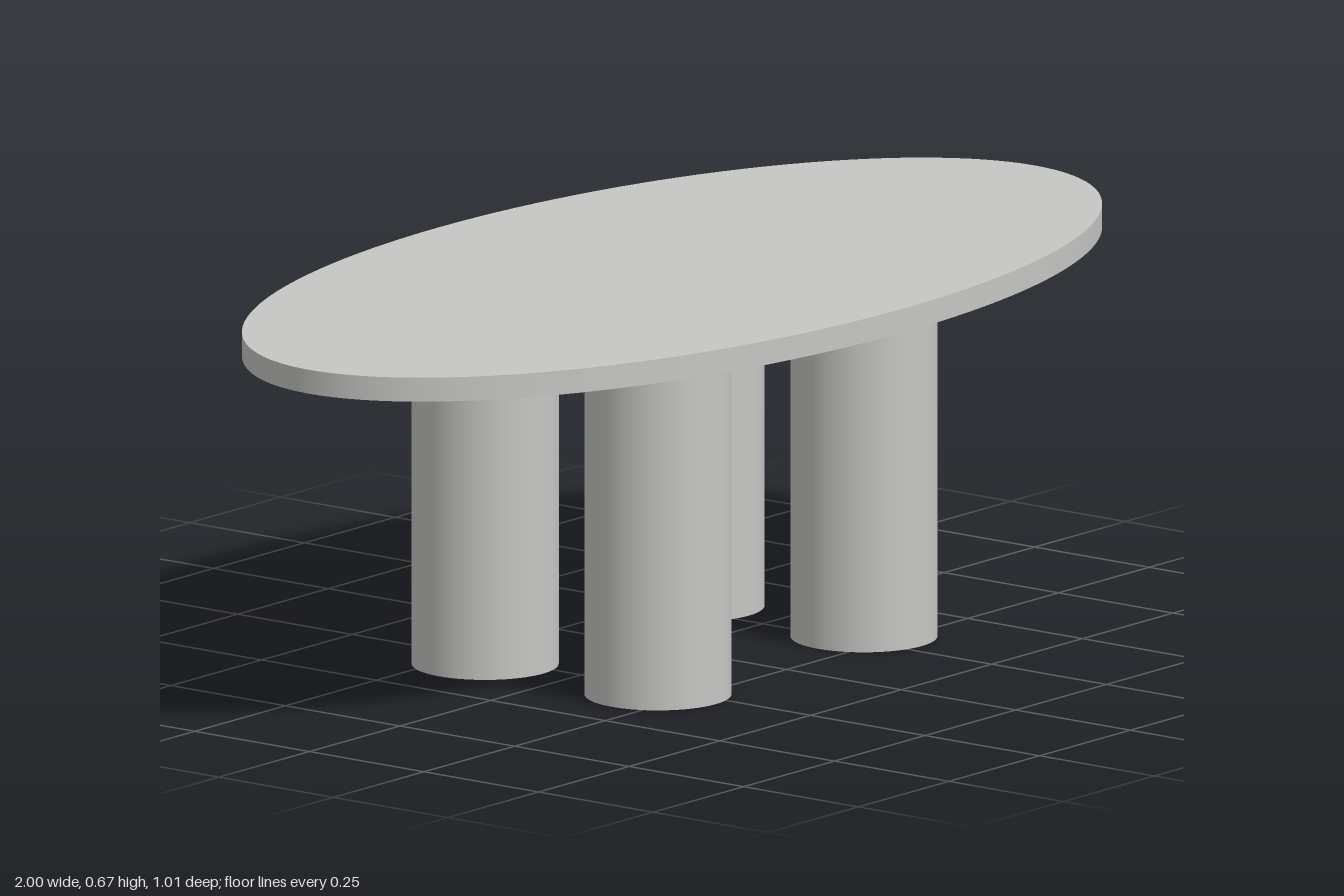
import * as THREE from 'three';

const TOP_Y = 0.67, THICKNESS = 0.042;
const LEG_HEIGHT = TOP_Y - THICKNESS, LEG_RADIUS = 0.126;

export function createModel() {
  const table = new THREE.Group();
  table.name = 'ovalTable';
  const grey = new THREE.MeshStandardMaterial({ name: 'light grey', color: 0xc6c6c4 });

  // Oval top: a disc stretched along x, with the scale baked into the geometry
  const topGeometry = new THREE.CylinderGeometry(1, 1, THICKNESS, 128);
  topGeometry.scale(1, 1, 0.505);
  const top = new THREE.Mesh(topGeometry, grey);
  top.name = 'tableTop';
  top.position.y = TOP_Y - THICKNESS / 2;
  table.add(top);

  // Four round column legs, set slightly towards the front
  const legGeometry = new THREE.CylinderGeometry(LEG_RADIUS, LEG_RADIUS, LEG_HEIGHT, 64);
  for (const [sideName, x] of [['Left', 0.284], ['Right', -0.284]]) {
    for (const [endName, z] of [['front', 0.194], ['back', -0.183]]) {
      const leg = new THREE.Mesh(legGeometry, grey);
      leg.name = `${endName}${sideName}Leg`;
      leg.position.set(x, LEG_HEIGHT / 2, z);
      table.add(leg);
    }
  }
  return table;
}
